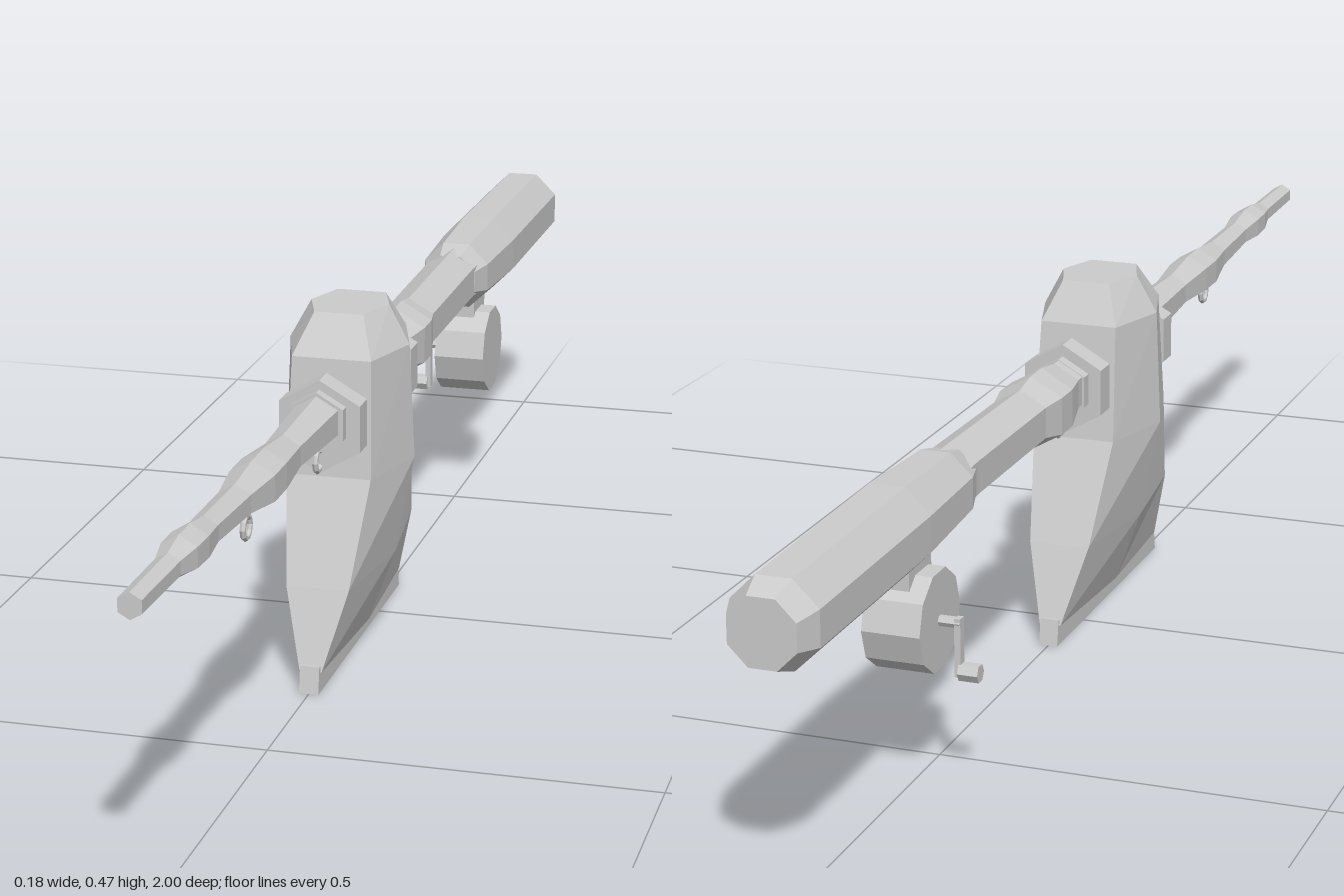
import * as THREE from 'three';

const grey = new THREE.MeshStandardMaterial({ color: 0xcccccc, flatShading: true });

function add(parent, name, geo, x = 0, y = 0, z = 0) {
  const mesh = new THREE.Mesh(geo, grey);
  mesh.name = name;
  mesh.position.set(x, y, z);
  parent.add(mesh);
  return mesh;
}

// Joins equal-length rings of [x, y, z] points (counter-clockwise about the loft direction) and caps both ends.
function loft(rings) {
  const n = rings[0].length, pos = [];
  const tri = (a, b, c) => pos.push(...a, ...b, ...c);
  for (let r = 0; r < rings.length - 1; r++) {
    for (let i = 0; i < n; i++) {
      const j = (i + 1) % n, p = rings[r], q = rings[r + 1];
      tri(p[i], p[j], q[j]);
      tri(p[i], q[j], q[i]);
    }
  }
  const first = rings[0], last = rings[rings.length - 1];
  for (let i = 1; i < n - 1; i++) {
    tri(first[0], first[i + 1], first[i]);
    tri(last[0], last[i], last[i + 1]);
  }
  const geo = new THREE.BufferGeometry();
  geo.setAttribute('position', new THREE.Float32BufferAttribute(pos, 3));
  geo.computeVertexNormals();
  return geo;
}

// Polygonal bar along z; stations are [z, centre y, radius], ordered from back to front.
function bar(stations, sides, turn) {
  return loft(stations.map(([z, y, r]) => Array.from({ length: sides }, (_, i) => {
    const a = turn + (i / sides) * Math.PI * 2;
    return [Math.cos(a) * r, y + Math.sin(a) * r, z];
  })));
}

export function createModel() {
  const group = new THREE.Group();

  // Flared six-sided head: [y, half width, half width of flat end, back z, front z]
  const sections = [
    [0.028, 0.025, 0.015, -0.10, 0.303],
    [0.13, 0.062, 0.042, -0.063, 0.268],
    [0.265, 0.088, 0.057, -0.006, 0.213],
    [0.42, 0.081, 0.053, 0.014, 0.197],
    [0.471, 0.053, 0.033, 0.045, 0.16],
  ];
  add(group, 'head', loft(sections.map(([y, w, f, b, t]) => {
    const m = (b + t) / 2;
    return [[w, y, m], [f, y, b], [-f, y, b], [-w, y, m], [-f, y, t], [f, y, t]];
  })));

  // Cutting edge strip, slightly shorter at its top
  add(group, 'edgeStrip', loft([[0, -0.108, 0.313], [0.036, -0.102, 0.307]].map(([y, b, t]) =>
    [[0.013, y, b], [-0.013, y, b], [-0.013, y, t], [0.013, y, t]])));

  // Collars and sleeves on both sides of the head
  const hex = Math.PI / 6;
  for (const [name, z0, z1] of [['frontCollar', 0.22, 0.255], ['backCollar', -0.048, -0.012]]) {
    add(group, name, bar([[z0, 0.346, 0.062], [z1, 0.346, 0.062]], 6, hex));
  }
  add(group, 'sleeve', bar([[-0.065, 0.35, 0.042], [0.27, 0.355, 0.041]], 6, hex));

  // Tapered rod with swollen joints
  add(group, 'rod', bar([
    [-0.56, 0.35, 0.046], [-0.45, 0.353, 0.042], [-0.21, 0.351, 0.041],
    [-0.17, 0.349, 0.05], [-0.13, 0.349, 0.05], [-0.08, 0.352, 0.039],
    [0.25, 0.358, 0.034], [0.42, 0.361, 0.026], [0.5, 0.363, 0.033],
    [0.55, 0.363, 0.033], [0.62, 0.366, 0.023], [0.74, 0.371, 0.02],
    [0.79, 0.373, 0.026], [0.83, 0.374, 0.025], [0.87, 0.375, 0.017], [1, 0.377, 0.016],
  ], 6, hex));

  // Eight-sided grip
  add(group, 'grip', bar([
    [-1, 0.345, 0.045], [-0.965, 0.345, 0.058], [-0.65, 0.348, 0.059],
    [-0.5, 0.35, 0.052], [-0.46, 0.352, 0.04],
  ], 8, Math.PI / 8));

  // Line guides under the rod
  for (const [y, z] of [[0.303, 0.262], [0.321, 0.577], [0.3, -0.062]]) {
    const ring = add(group, 'lineGuide', new THREE.TorusGeometry(0.014, 0.004, 6, 10), 0, y, z);
    ring.rotation.y = Math.PI / 2;
  }

  // Reel with its foot and crank
  const reel = new THREE.Group();
  reel.name = 'reel';
  reel.position.set(0, 0.215, -0.585);
  group.add(reel);
  const drum = (name, r, len, sides, x, y) => {
    const geo = new THREE.CylinderGeometry(r, r, len, sides);
    geo.rotateZ(Math.PI / 2);
    add(reel, name, geo, x, y, 0);
  };
  drum('spool', 0.065, 0.075, 10, 0, 0);
  add(reel, 'reelFoot', new THREE.BoxGeometry(0.03, 0.07, 0.07), 0, 0.075, -0.005);
  drum('crankShaft', 0.007, 0.03, 6, -0.05, 0);
  add(reel, 'crankArm', new THREE.BoxGeometry(0.008, 0.075, 0.012), -0.062, -0.031, 0);
  drum('crankKnob', 0.012, 0.026, 6, -0.076, -0.062);

  return group;
}
